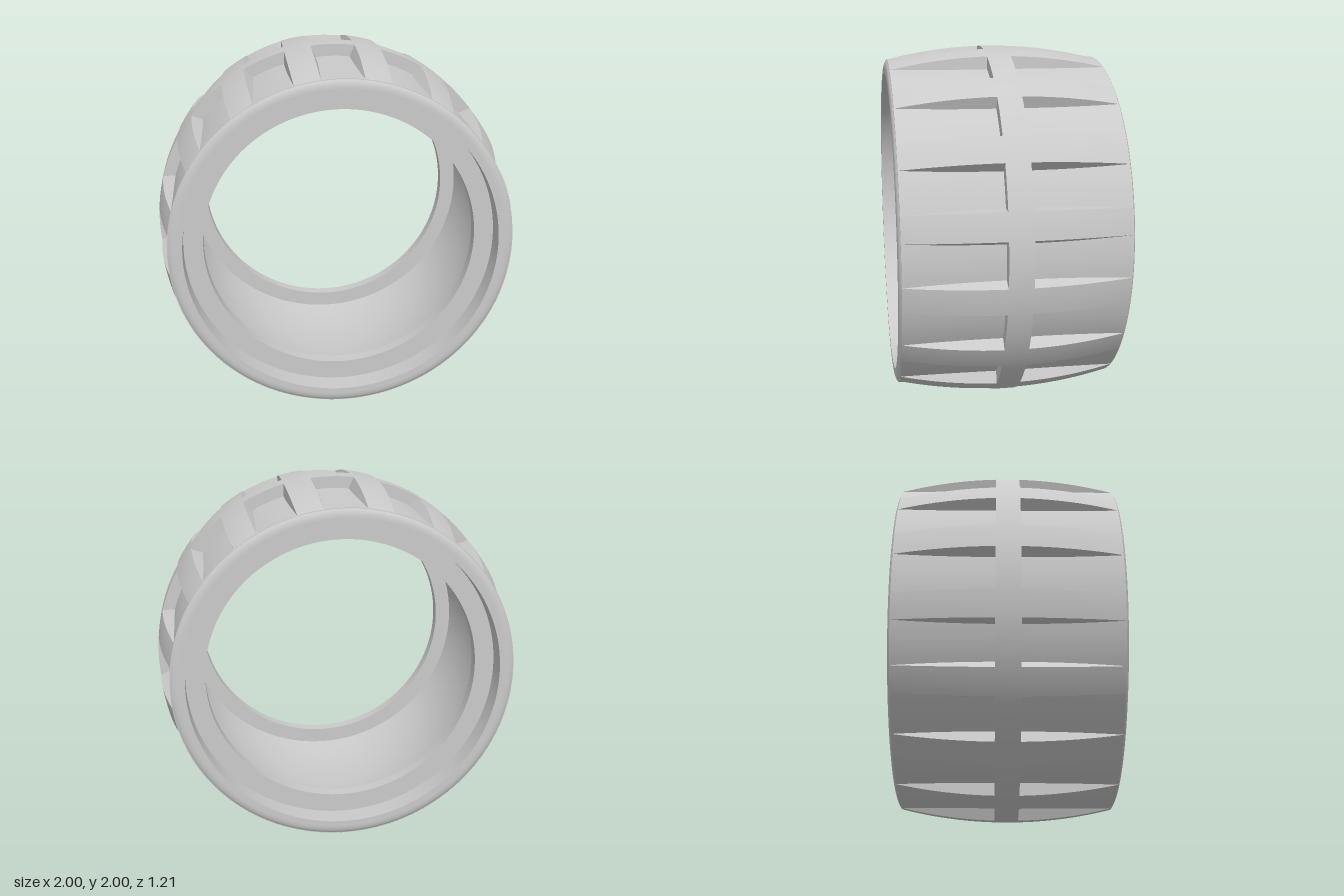
import * as THREE from 'three';
import { mergeGeometries } from 'three/addons/utils/BufferGeometryUtils.js';

const COUNT = 16, STEP = (Math.PI * 2) / COUNT;
const RIB = 0.065, EDGE = 0.59; // tread pockets run from the rib to the shoulder
const HALF = (7 * Math.PI) / 180; // half the opening angle of a pocket
const FLANGE_FRONT = 0.485, FLANGE_BACK = 0.418;
const lerp = THREE.MathUtils.lerp;

const crown = (z) => 1 - 0.074 * (z / 0.6) ** 2;
const floorR = (z) => lerp(0.934, crown(EDGE), (z - RIB) / (EDGE - RIB));
const floorHalf = (z) => HALF - 0.33 * (crown(z) - floorR(z)); // sloping sides
const zAt = (v) => lerp(RIB, EDGE, v);

// Grid surface from a rule giving [angle, radius, z]
function patch(rule, nu, nv) {
  const pos = [], index = [];
  for (let j = 0; j <= nv; j++) {
    for (let i = 0; i <= nu; i++) {
      const [a, r, z] = rule(i / nu, j / nv);
      pos.push(r * Math.cos(a), r * Math.sin(a), z);
      if (i < nu && j < nv) {
        const p = j * (nu + 1) + i, q = p + nu + 1;
        index.push(p, p + 1, q + 1, p, q + 1, q);
      }
    }
  }
  const g = new THREE.BufferGeometry();
  g.setAttribute('position', new THREE.Float32BufferAttribute(pos, 3));
  g.setIndex(index);
  g.computeVertexNormals();
  return g;
}

// Repeat patches round the wheel, on both the front and back halves
function around(patches) {
  const all = [];
  for (let k = 0; k < COUNT; k++) {
    for (const p of patches) {
      const front = p.clone().rotateZ(k * STEP);
      all.push(front, front.clone().rotateY(Math.PI));
    }
  }
  return mergeGeometries(all);
}

// Turned surface about z from [radius, z] points
function turned(points) {
  return new THREE.LatheGeometry(points.map(([r, z]) => new THREE.Vector2(r, z)), 192)
    .rotateX(Math.PI / 2);
}

export function createModel() {
  const group = new THREE.Group();
  const rubber = new THREE.MeshStandardMaterial({ color: 0xcacaca });
  rubber.name = 'grey rubber';
  const wheel = new THREE.Group();
  wheel.name = 'tyre';
  wheel.position.y = 1;
  group.add(wheel);

  const add = (name, geometry) => {
    const mesh = new THREE.Mesh(geometry, rubber);
    mesh.name = name;
    wheel.add(mesh);
  };
  const addBothSides = (name, points) => {
    const g = turned(points);
    add(name, mergeGeometries([g, g.clone().rotateY(Math.PI)]));
  };

  // Crowned rib round the middle
  add('centreRib', turned([-1, -0.5, 0, 0.5, 1].map((t) => [crown(t * RIB), t * RIB])));

  // Raised blocks between the pockets
  add('treadBlocks', around([
    patch((u, v) => [lerp(HALF, STEP - HALF, u), crown(zAt(v)), zAt(v)], 8, 10),
  ]));

  // Sunken pockets: floor, two sloping sides and the end against the rib
  add('pocketFloors', around([
    patch((u, v) => {
      const z = zAt(v), h = floorHalf(z);
      return [lerp(-h, h, u), floorR(z), z];
    }, 8, 10),
  ]));
  const side = (sign) => patch((u, v) => {
    const z = zAt(v), t = sign > 0 ? u : 1 - u;
    return [sign * lerp(floorHalf(z), HALF, t), lerp(floorR(z), crown(z), t), z];
  }, 1, 10);
  const end = patch((u, v) => {
    const h = lerp(HALF, floorHalf(RIB), v);
    return [lerp(-h, h, u), lerp(crown(RIB), floorR(RIB), v), RIB];
  }, 8, 1);
  add('pocketWalls', around([side(1), side(-1), end]));

  // Rounded shoulder running into the side face
  const shoulder = [];
  for (let i = 0; i <= 8; i++) {
    const a = (i / 8) * Math.PI / 2;
    shoulder.push([lerp(0.88, crown(EDGE), Math.cos(a)), lerp(EDGE - 0.01, 0.605, Math.sin(a))]);
  }
  shoulder[0][1] = EDGE;
  shoulder[1][1] = Math.max(shoulder[1][1], EDGE + 0.001);
  addBothSides('shoulder', shoulder);
  addBothSides('sideFace', [[0.88, 0.605], [0.848, 0.605]]);

  // Stepped seat and inward flange
  addBothSides('rimSeat', [[0.848, 0.605], [0.848, FLANGE_FRONT]]);
  addBothSides('flangeFace', [[0.848, FLANGE_FRONT], [0.742, FLANGE_FRONT]]);
  addBothSides('flangeBore', [[0.742, FLANGE_FRONT], [0.742, FLANGE_BACK]]);
  addBothSides('flangeBack', [[0.742, FLANGE_BACK], [0.83, FLANGE_BACK]]);

  // Bowed inner wall
  const inner = [];
  for (let i = 0; i <= 12; i++) {
    const t = lerp(1, -1, i / 12);
    inner.push([0.88 - 0.05 * t * t, FLANGE_BACK * t]);
  }
  add('innerWall', turned(inner));

  return group;
}
